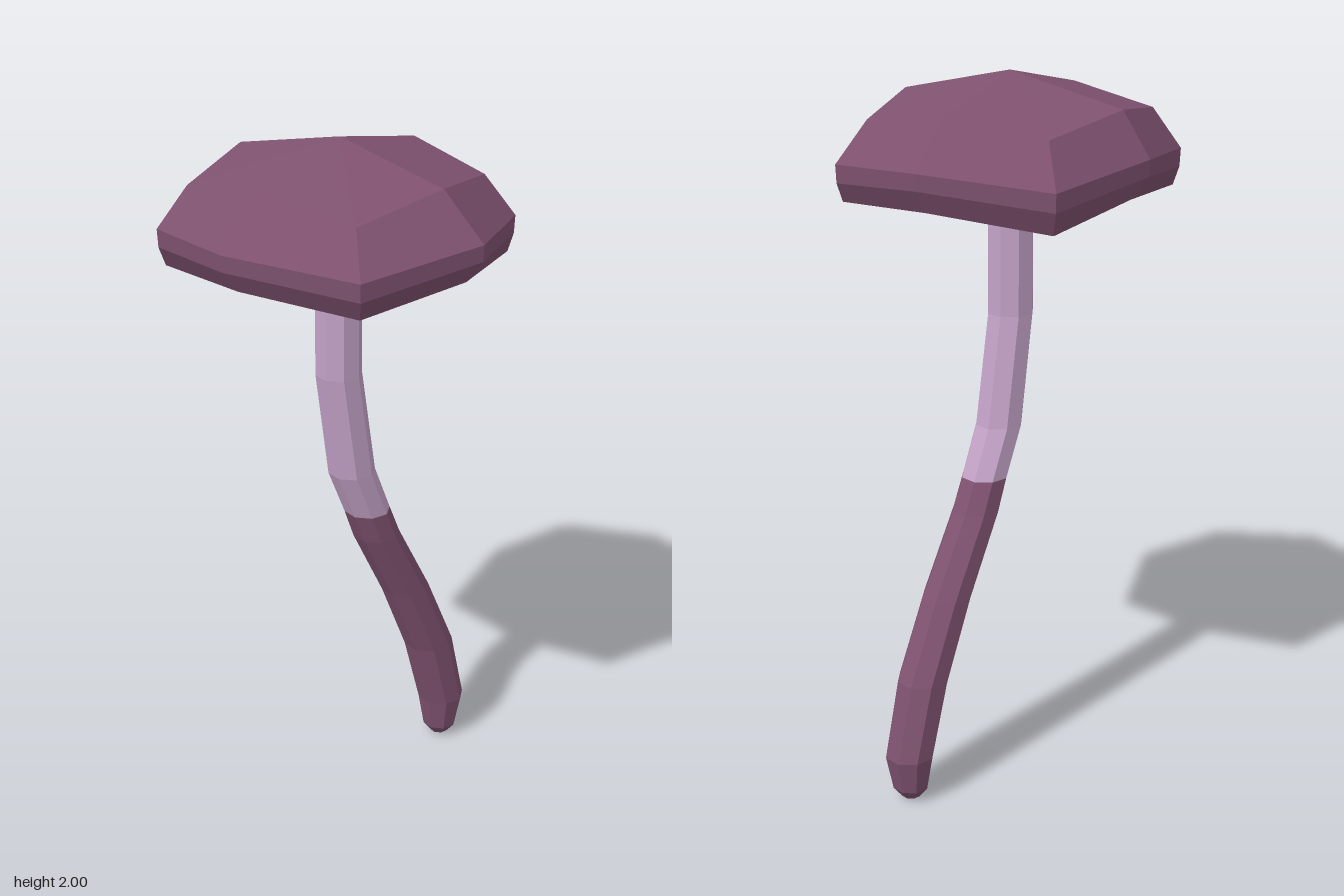
import * as THREE from 'three';

const capMat = new THREE.MeshStandardMaterial({ name: 'plum', color: 0x7f5270 });
const paleMat = new THREE.MeshStandardMaterial({ name: 'paleLilac', color: 0xc4a3c8 });

// Skins a list of rings, ordered from the outside top downwards / inwards.
// Every panel gets one flat normal, so slightly bent quads still read as one facet.
function loft(name, rings, material) {
  const pos = [], nor = [];
  const v = (p) => new THREE.Vector3(...p);
  const panel = (a, b, c, d) => {
    const n = v(c).sub(v(a)).cross(v(d).sub(v(b))).normalize();
    const corners = [a, b, c, a, c, d];
    corners.forEach((p) => {
      pos.push(...p);
      nor.push(n.x, n.y, n.z);
    });
  };
  for (let r = 0; r < rings.length - 1; r++) {
    const a = rings[r], b = rings[r + 1];
    const n = Math.max(a.length, b.length);
    for (let i = 0; i < n; i++) {
      const j = (i + 1) % n;
      panel(a[i % a.length], a[j % a.length], b[j % b.length], b[i % b.length]);
    }
  }
  const g = new THREE.BufferGeometry();
  g.setAttribute('position', new THREE.Float32BufferAttribute(pos, 3));
  g.setAttribute('normal', new THREE.Float32BufferAttribute(nor, 3));
  const mesh = new THREE.Mesh(g, material);
  mesh.name = name;
  return mesh;
}

// Horizontal octagon, turned slightly about the stem's axis
function stemRing([x, y, r]) {
  return Array.from({ length: 8 }, (_, i) => {
    const t = (i + 0.5) * Math.PI / 4 + 0.09;
    return [x + r * Math.cos(t), y, -0.02 + r * Math.sin(t)];
  });
}

export function createModel() {
  const model = new THREE.Group();
  model.name = 'mushroom';

  // Cap: uneven octagon whose corners alternate high and low
  const shoulder = [[-0.34, -0.24], [-0.08, -0.35], [0.2, -0.345], [0.315, -0.09],
    [0.31, 0.19], [0.055, 0.305], [-0.23, 0.3], [-0.34, 0.04]];
  const brim = [[-0.41, -0.285], [-0.095, -0.43], [0.25, -0.415], [0.437, -0.11],
    [0.38, 0.24], [0.08, 0.43], [-0.275, 0.37], [-0.465, 0.065]];
  const ring = (pts, scaleEven, yEven, scaleOdd, yOdd) => pts.map(([x, z], i) =>
    i % 2 ? [x * scaleOdd, yOdd, z * scaleOdd] : [x * scaleEven, yEven, z * scaleEven]);
  const bottom = ring(brim, 0.96, 1.67, 0.88, 1.695);
  bottom[2][1] = 1.66; // the back left corner droops
  const lip = bottom.map(([x, y, z]) => [x * 0.92, y + 0.004, z * 0.92]);
  model.add(loft('cap', [
    [[-0.01, 2, -0.02]],
    ring(shoulder, 1, 1.885, 1, 1.925),
    ring(brim, 1, 1.77, 1, 1.805),
    ring(brim, 0.995, 1.72, 0.995, 1.76),
    bottom, lip,
  ], capMat));

  // Gills: pale band rising to a dark, shallow centre
  const gillOuter = lip.flatMap((p, i) => {
    const q = lip[(i + 1) % 8];
    return [p, p.map((c, k) => (c + q[k]) / 2)];
  });
  const gillInner = gillOuter.map(([x, , z]) => {
    const t = Math.atan2(z, x);
    return [-0.02 + 0.275 * Math.cos(t), 1.71, 0.01 + 0.275 * Math.sin(t)];
  });
  model.add(loft('gills', [gillOuter, gillInner], paleMat));
  model.add(loft('capCentre', [gillInner, [[-0.015, 1.71, -0.02]]], capMat));

  // Stem: bent, pale above and plum below; entries are x, y, radius
  const upper = [[-0.015, 1.715, 0.065], [-0.015, 1.34, 0.065], [0.032, 1.03, 0.067], [0.09, 0.89, 0.066]];
  const lower = [[0.09, 0.89, 0.066], [0.126, 0.8, 0.068], [0.242, 0.58, 0.071], [0.341, 0.355, 0.074],
    [0.398, 0.14, 0.07], [0.396, 0.04, 0.051], [0.395, 0.01, 0.027]];
  model.add(loft('upperStem', upper.map(stemRing), paleMat));
  model.add(loft('lowerStem', [...lower.map(stemRing), [[0.395, 0, -0.02]]], capMat));

  return model;
}
